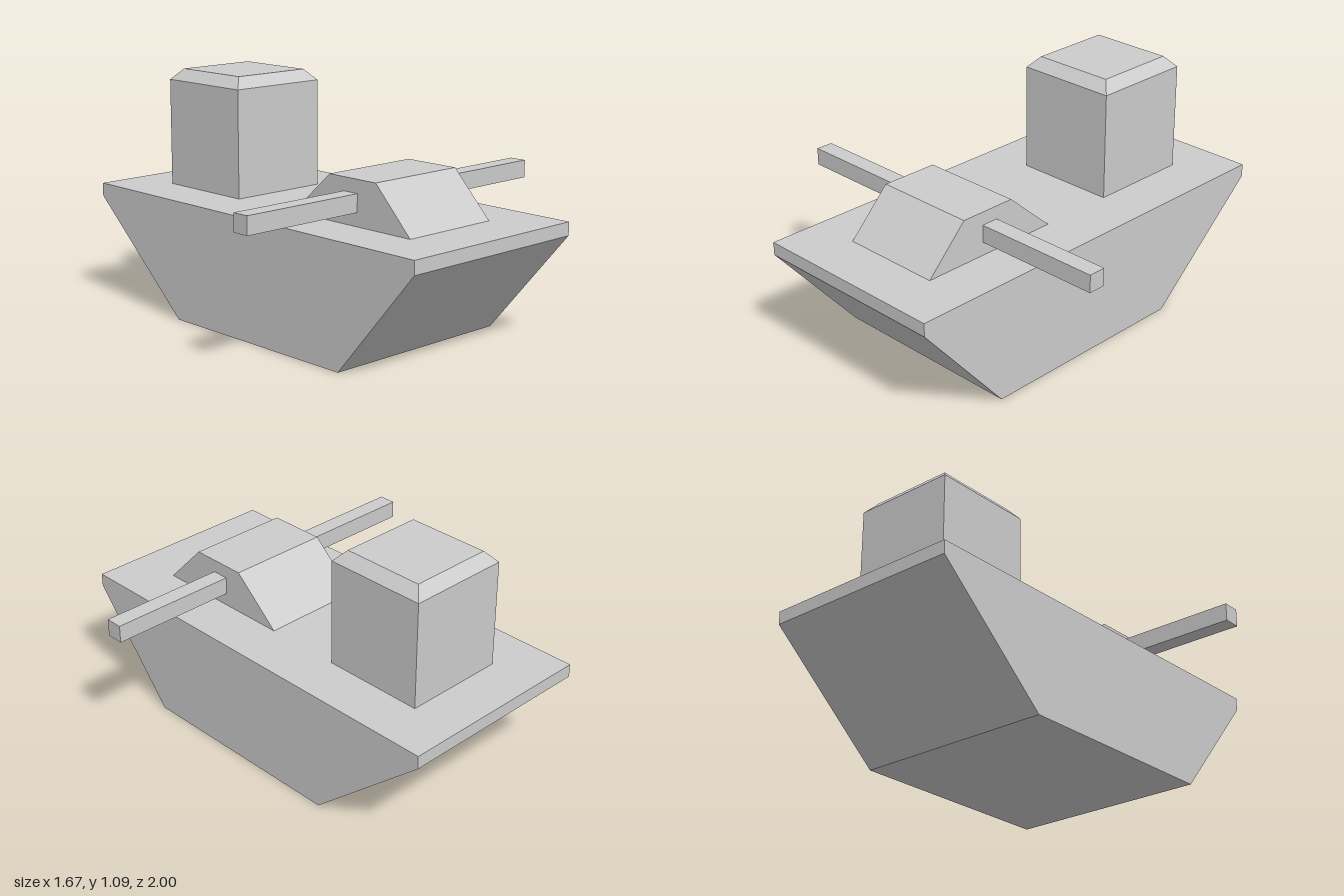
import * as THREE from 'three';

const grey = new THREE.MeshStandardMaterial({ color: 0xcccccc });
grey.name = 'light grey';

// Side outline given as [z, y] points, extruded across x and centred
function sideProfile(name, points, width) {
  const shape = new THREE.Shape(points.map(([z, y]) => new THREE.Vector2(z, y)));
  const geo = new THREE.ExtrudeGeometry(shape, { depth: width, bevelEnabled: false });
  geo.translate(0, 0, -width / 2).rotateY(-Math.PI / 2);
  const mesh = new THREE.Mesh(geo, grey);
  mesh.name = name;
  return mesh;
}

// Box standing on its base, with the upper face drawn in by an inset
function taperedBox(name, w, h, d, inset = 0) {
  const geo = new THREE.BoxGeometry(w, h, d).translate(0, h / 2, 0);
  const p = geo.attributes.position;
  for (let i = 0; i < p.count; i++) {
    if (p.getY(i) < h / 2) continue;
    p.setX(i, p.getX(i) - Math.sign(p.getX(i)) * inset);
    p.setZ(i, p.getZ(i) - Math.sign(p.getZ(i)) * inset);
  }
  geo.computeVertexNormals();
  const mesh = new THREE.Mesh(geo, grey);
  mesh.name = name;
  return mesh;
}

export function createModel() {
  const model = new THREE.Group();
  model.name = 'boat';
  const deck = 0.545;

  // Hull with raked bow and stern
  model.add(sideProfile('hull',
    [[-0.445, 0], [0.585, 0], [1, 0.485], [1, deck], [-1, deck], [-1, 0.485]], 0.94));

  // Low sloped cabin towards the bow
  model.add(sideProfile('foreCabin',
    [[0.07, deck], [0.76, deck], [0.565, 0.745], [0.295, 0.745]], 0.48));

  // Straight arms out of both cabin sides
  for (const [name, side] of [['leftArm', 1], ['rightArm', -1]]) {
    const arm = taperedBox(name, 0.605, 0.08, 0.08);
    arm.position.set(side * 0.5325, 0.605, 0.42);
    model.add(arm);
  }

  // Tall tower at the stern with a bevelled roof
  const tower = new THREE.Group();
  tower.name = 'sternTower';
  tower.position.set(0, deck, -0.528);
  const roof = taperedBox('towerRoof', 0.48, 0.05, 0.48, 0.046);
  roof.position.y = 0.49;
  tower.add(taperedBox('towerWalls', 0.48, 0.49, 0.48), roof);
  model.add(tower);

  return model;
}
